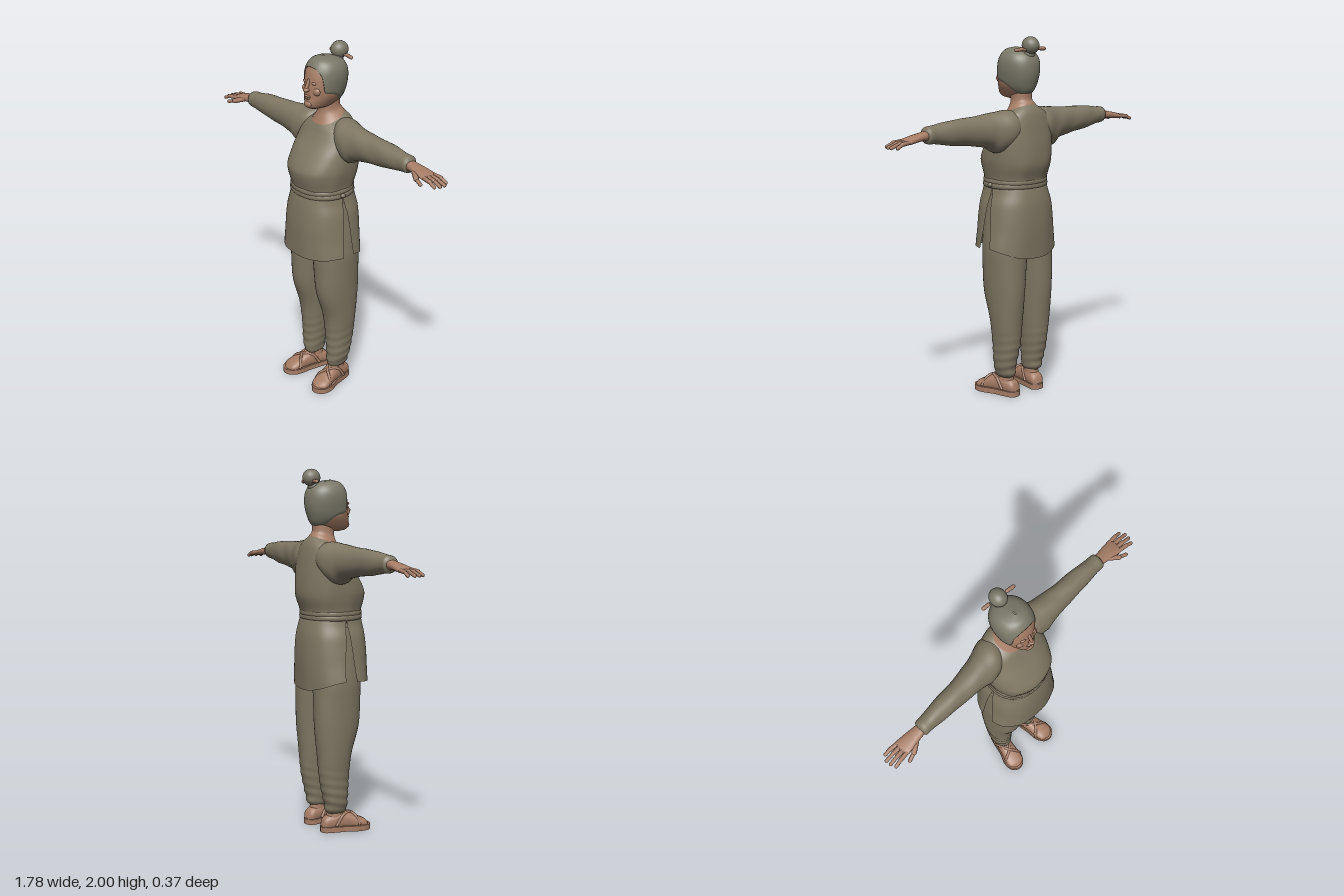
import * as THREE from 'three';
import { mergeVertices } from 'three/addons/utils/BufferGeometryUtils.js';

const V = (x, y, z) => new THREE.Vector3(x, y, z);
const lerp = THREE.MathUtils.lerp;

// Smoothly interpolates a table of sections keyed by their first column
function at(S, t) {
  let i = 0;
  while (i < S.length - 2 && t > S[i + 1][0]) i++;
  const a = S[i], b = S[i + 1], p = S[Math.max(i - 1, 0)], q = S[Math.min(i + 2, S.length - 1)];
  const h = b[0] - a[0], s = (t - a[0]) / h, s2 = s * s, s3 = s2 * s;
  return a.map((_, c) => {
    const ma = (b[c] - p[c]) / (b[0] - p[0]) * h, mb = (q[c] - a[c]) / (q[0] - a[0]) * h;
    return (2 * s3 - 3 * s2 + 1) * a[c] + (s3 - 2 * s2 + s) * ma + (3 * s2 - 2 * s3) * b[c] + (s3 - s2) * mb;
  });
}

// Grid surface: f runs along the rows, g around the columns
function surface(rows, cols, closed, fn) {
  const pos = [], idx = [], n = closed ? cols : cols + 1;
  for (let i = 0; i <= rows; i++)
    for (let j = 0; j < n; j++) pos.push(...fn(i / rows, j / cols).toArray());
  for (let i = 0; i < rows; i++)
    for (let j = 0; j < cols; j++) {
      const a = i * n + j, b = i * n + (j + 1) % n;
      idx.push(a, a + n, b, b, a + n, b + n);
    }
  const g = new THREE.BufferGeometry();
  g.setAttribute('position', new THREE.Float32BufferAttribute(pos, 3));
  g.setIndex(idx);
  g.computeVertexNormals();
  return g;
}

// Point on a rounded section [t, u0, u1, v0, v1] at angle a
function ringPoint([, u0, u1, v0, v1], a, e = 1, grow = 1) {
  const pw = (x) => Math.sign(x) * Math.abs(x) ** e;
  return [(u0 + u1) / 2 + (u1 - u0) / 2 * pw(Math.cos(a)) * grow, (v0 + v1) / 2 + (v1 - v0) / 2 * pw(Math.sin(a)) * grow];
}

const alongY = (t, u, v) => V(u, t, v);
const alongX = (t, u, v) => V(t, v, u);
const alongZ = (t, u, v) => V(v, u, t);

// Closed loft; an optional sixth column tilts the section forward
function loft(S, map, { rows = 40, cols = 36, e = 1, fold = () => 0 } = {}) {
  return surface(rows, cols, true, (f, g) => {
    const t = lerp(S[0][0], S[S.length - 1][0], f), a = g * Math.PI * 2, s = at(S, t);
    const [u, v] = ringPoint(s, a, e, 1 + fold(t, a));
    return map(t - (s[5] || 0) * (v - (s[3] + s[4]) / 2), u, v);
  });
}
const sym = (S) => S.map(([t, w, ...r]) => [t, -w, w, ...r]);

function limb(a, b, r) {
  const d = b.clone().sub(a), g = new THREE.CapsuleGeometry(r, d.length(), 5, 10);
  g.applyQuaternion(new THREE.Quaternion().setFromUnitVectors(V(0, 1, 0), d.normalize()));
  const m = a.clone().add(b).multiplyScalar(0.5);
  return g.translate(m.x, m.y, m.z);
}
const ball = (x, y, z, rx, ry, rz) => new THREE.SphereGeometry(1, 24, 16).scale(rx, ry, rz).translate(x, y, z);

function add(parent, name, geo, mat) {
  const m = new THREE.Mesh(geo, mat);
  m.name = name;
  parent.add(m);
  return m;
}

// Mirrored copy of a group across x = 0
function mirrored(group, name) {
  const out = new THREE.Group();
  out.name = name;
  group.updateMatrixWorld(true);
  group.traverse((o) => {
    if (!o.isMesh) return;
    const g = o.geometry.clone().applyMatrix4(o.matrixWorld).scale(-1, 1, 1);
    const ix = g.index.array;
    for (let i = 0; i < ix.length; i += 3) [ix[i], ix[i + 1]] = [ix[i + 1], ix[i]];
    add(out, o.name, g, o.material);
  });
  return out;
}

export function createModel() {
  const model = new THREE.Group();
  const material = (name, color, side = THREE.FrontSide) => Object.assign(new THREE.MeshStandardMaterial({ color, side }), { name });
  const cloth = material('olive cloth', 0x7f7763, THREE.DoubleSide);
  const hair = material('grey hair', 0x7a7868, THREE.DoubleSide);
  const skin = material('tan skin', 0xa67d66);

  // Tunic body up to the neckline
  const torso = sym([
    [1.18, 0.165, -0.15, 0.15, 0], [1.24, 0.17, -0.16, 0.165, 0], [1.3, 0.182, -0.18, 0.18, 0],
    [1.34, 0.188, -0.185, 0.18, 0], [1.42, 0.19, -0.18, 0.137, 0], [1.48, 0.185, -0.172, 0.095, 0],
    [1.54, 0.17, -0.16, 0.065, 0.1], [1.58, 0.135, -0.145, 0.052, 0.25], [1.605, 0.085, -0.12, 0.043, 0.39]]);
  add(model, 'tunic', loft(torso, alongY, { cols: 56, e: 0.88, fold: (t, a) => t < 1.55 ? 0.008 * Math.sin(9 * a + 14 * t) * (1.55 - t) * 3 : 0 }), cloth);

  // Belt of two wraps with a side knot
  for (const [y, grow] of [[1.2, 0], [1.222, -0.004]]) {
    const w = 0.176 + grow;
    const belt = sym([[y - 0.018, w - 0.012, -0.148, 0.156], [y - 0.011, w, -0.158, 0.166], [y + 0.011, w, -0.158, 0.166], [y + 0.018, w - 0.012, -0.148, 0.156]]);
    add(model, 'belt', loft(belt, alongY, { rows: 10, cols: 48, e: 0.9 }), cloth);
  }
  add(model, 'beltKnot', ball(0.182, 1.205, 0.01, 0.012, 0.013, 0.014), cloth);

  // Front and back skirt panels with side slits
  const skirt = sym([
    [0.78, 0.236, -0.173, 0.186], [0.85, 0.231, -0.176, 0.186], [0.95, 0.215, -0.18, 0.186], [1.02, 0.207, -0.18, 0.185],
    [1.1, 0.195, -0.175, 0.178], [1.155, 0.177, -0.165, 0.17], [1.2, 0.168, -0.153, 0.16]]);
  for (const [name, start, hem, rise] of [['frontSkirtPanel', 0, 0.838, 0.018], ['backSkirtPanel', Math.PI, 0.8, 0.06]]) {
    add(model, name, surface(24, 40, false, (f, g) => {
      const slit = 0.15 * (1 - f), a = start + lerp(slit, Math.PI - slit, g);
      const y = lerp(hem + rise * Math.cos(a) ** 2, 1.2, f);
      const [x, z] = ringPoint(at(skirt, y), a, 0.86, 1 + 0.008 * Math.sin(10 * a) * (1 - f));
      return V(x, y, z);
    }), cloth);
  }

  // Trouser leg, gathered at the ankle
  const leftLeg = new THREE.Group();
  leftLeg.name = 'leftLeg';
  const leg = [
    [0.105, 0.068, 0.133, -0.07, 0.028], [0.12, 0.058, 0.145, -0.085, 0.042], [0.16, 0.052, 0.158, -0.09, 0.043],
    [0.2, 0.048, 0.165, -0.1, 0.045], [0.3, 0.038, 0.172, -0.12, 0.05], [0.44, 0.025, 0.185, -0.133, 0.065],
    [0.6, 0.012, 0.195, -0.148, 0.112], [0.75, -0.002, 0.2, -0.15, 0.122], [0.86, -0.012, 0.2, -0.15, 0.125], [1.15, -0.02, 0.16, -0.14, 0.14]];
  const gather = (t, a) => 0.045 * Math.sin(t * 120 + 2 * Math.sin(a)) * THREE.MathUtils.clamp((0.4 - t) / 0.25, 0, 1);
  add(leftLeg, 'trouserLeg', loft(leg, alongY, { rows: 80, e: 0.92, fold: gather }), cloth);

  // Shoe, pointing slightly outward
  const foot = new THREE.Group();
  foot.name = 'foot';
  foot.position.set(0.1, 0, -0.02);
  foot.rotation.y = 0.2;
  leftLeg.add(foot);
  const outline = new THREE.Shape(new THREE.SplineCurve([
    [0, -0.09], [0.036, -0.075], [0.045, -0.02], [0.048, 0.05], [0.062, 0.12], [0.05, 0.175], [0.01, 0.2],
    [-0.035, 0.185], [-0.057, 0.13], [-0.047, 0.05], [-0.043, -0.02], [-0.036, -0.075], [0, -0.09]].map((p) => new THREE.Vector2(...p))).getPoints(40));
  const sole = new THREE.ExtrudeGeometry(outline, { depth: 0.03, bevelEnabled: false });
  add(foot, 'sole', mergeVertices(sole.rotateX(Math.PI / 2).translate(0, 0.03, 0)), skin);
  add(foot, 'shoeUpper', loft([
    [-0.086, 0.03, 0.035, -0.01, 0.01], [-0.075, 0.015, 0.075, -0.034, 0.034], [-0.03, 0.01, 0.1, -0.041, 0.041],
    [0.03, 0.01, 0.113, -0.044, 0.044], [0.08, 0.01, 0.1, -0.047, 0.048], [0.13, 0.01, 0.073, -0.052, 0.055],
    [0.17, 0.01, 0.054, -0.043, 0.045], [0.188, 0.025, 0.033, -0.01, 0.012]], alongZ, { cols: 24, e: 0.85 }), skin);
  add(foot, 'ankle', loft([[0.05, -0.042, 0.042, -0.06, 0.05], [0.1, -0.037, 0.037, -0.052, 0.045], [0.15, -0.032, 0.032, -0.045, 0.04]], alongY, { rows: 8, cols: 20 }), skin);
  for (const s of [-1, 1]) {
    const strap = new THREE.CatmullRomCurve3([V(s * 0.046, 0.035, -0.01), V(s * 0.036, 0.092, 0.03), V(0, 0.1, 0.085), V(-s * 0.034, 0.078, 0.11), V(-s * 0.055, 0.035, 0.125)]);
    add(foot, 'strap', new THREE.TubeGeometry(strap, 24, 0.008, 8), skin);
  }
  model.add(leftLeg, mirrored(leftLeg, 'rightLeg'));

  // Sleeve
  const leftArm = new THREE.Group();
  leftArm.name = 'leftArm';
  add(leftArm, 'sleeve', loft([
    [0.05, -0.13, -0.03, 1.5, 1.59], [0.12, -0.15, 0.03, 1.42, 1.613], [0.2, -0.13, 0.045, 1.388, 1.606],
    [0.25, -0.115, 0.04, 1.418, 1.6], [0.36, -0.095, 0.032, 1.44, 1.592], [0.5, -0.085, 0.025, 1.457, 1.585],
    [0.6, -0.072, 0.018, 1.475, 1.572], [0.654, -0.066, 0.015, 1.483, 1.565], [0.66, -0.048, -0.002, 1.503, 1.545]],
    alongX, { rows: 60, e: 0.95, fold: (t, a) => 0.012 * Math.sin(t * 40 + 3 * a) }), cloth);

  // Hand with four fingers and a thumb
  add(leftArm, 'palm', loft([
    [0.64, -0.055, 0.005, 1.497, 1.55], [0.7, -0.062, 0.012, 1.497, 1.538], [0.76, -0.07, 0.02, 1.49, 1.525],
    [0.79, -0.068, 0.017, 1.49, 1.515], [0.802, -0.03, -0.02, 1.5, 1.505]], alongX, { rows: 20, cols: 20, e: 0.85 }), skin);
  [0.862, 0.88, 0.878, 0.866].forEach((tip, i) => {
    const knuckle = V(0.775, 1.505, -0.058 + 0.022 * i), mid = V(0.83, 1.5, -0.064 + 0.026 * i);
    add(leftArm, 'finger', limb(knuckle, mid, 0.0115), skin);
    add(leftArm, 'fingertip', limb(mid, V(tip, 1.484, -0.066 + 0.028 * i), 0.0095), skin);
  });
  const thumbJoint = V(0.755, 1.495, 0.032);
  add(leftArm, 'thumb', limb(V(0.705, 1.512, 0), thumbJoint, 0.014), skin);
  add(leftArm, 'thumbTip', limb(thumbJoint, V(0.798, 1.484, 0.045), 0.01), skin);
  model.add(leftArm, mirrored(leftArm, 'rightArm'));

  // Neck, flaring into the neckline
  add(model, 'neck', loft(sym([
    [1.6, 0.09, -0.122, 0.043, 0.39], [1.618, 0.076, -0.115, 0.034, 0.39], [1.65, 0.056, -0.105, 0.018, 0.2],
    [1.69, 0.053, -0.105, 0.02, 0], [1.75, 0.053, -0.11, 0.03, 0]]), alongY, { rows: 20, e: 0.93 }), skin);

  // Head and face
  const head = sym([
    [1.662, 0.008, 0.03, 0.05], [1.668, 0.03, -0.03, 0.085], [1.68, 0.05, -0.075, 0.105], [1.705, 0.068, -0.108, 0.111],
    [1.74, 0.086, -0.124, 0.106], [1.79, 0.097, -0.137, 0.102], [1.84, 0.101, -0.139, 0.094], [1.88, 0.095, -0.13, 0.082],
    [1.91, 0.077, -0.106, 0.064], [1.928, 0.048, -0.066, 0.04], [1.936, 0.004, -0.014, 0.006]]);
  add(model, 'head', loft(head, alongY, { e: 0.95 }), skin);
  add(model, 'noseBridge', limb(V(0, 1.825, 0.095), V(0, 1.785, 0.113), 0.009), skin);
  add(model, 'noseTip', ball(0, 1.777, 0.113, 0.017, 0.012, 0.017), skin);
  add(model, 'upperLip', ball(0, 1.742, 0.105, 0.025, 0.006, 0.011), skin);
  add(model, 'lowerLip', ball(0, 1.731, 0.105, 0.021, 0.006, 0.01), skin);
  add(model, 'chin', ball(0, 1.698, 0.1, 0.028, 0.02, 0.018), skin);
  for (const s of [-1, 1]) {
    add(model, 'eyelid', ball(s * 0.036, 1.814, 0.09, 0.016, 0.008, 0.009), skin);
    add(model, 'cheek', ball(s * 0.042, 1.77, 0.078, 0.026, 0.024, 0.018), skin);
  }

  // Hair cap; the hairline height depends on the angle from the face
  const hairline = [[0, 1.893], [0.4, 1.884], [0.75, 1.85], [0.9, 1.8], [1, 1.768], [1.5, 1.752], [2.2, 1.7], [3.15, 1.68]];
  add(model, 'hair', surface(24, 72, true, (f, g) => {
    const a = g * Math.PI * 2, d = Math.abs(Math.atan2(Math.cos(a), Math.sin(a)));
    const y = lerp(at(hairline, d)[1], 1.936, f);
    const [x, z] = ringPoint(at(head, y), a, 0.95, f === 0 ? 1 : 1.05);
    return V(x, y + 0.005 * f, z);
  }), hair);

  // Bun and hairpin
  add(model, 'bunBase', ball(0, 1.905, -0.098, 0.036, 0.035, 0.034), hair);
  add(model, 'bun', ball(0, 1.953, -0.115, 0.045, 0.047, 0.05), hair);
  const pinLeft = V(0.1, 1.931, -0.11), pinRight = V(-0.085, 1.933, -0.13);
  add(model, 'hairpin', limb(pinRight, pinLeft, 0.007), skin);
  add(model, 'hairpinEnd', limb(pinLeft, V(0.06, 1.935, -0.114), 0.01), skin);
  add(model, 'hairpinEnd', limb(pinRight, V(-0.055, 1.935, -0.127), 0.01), skin);

  return model;
}
